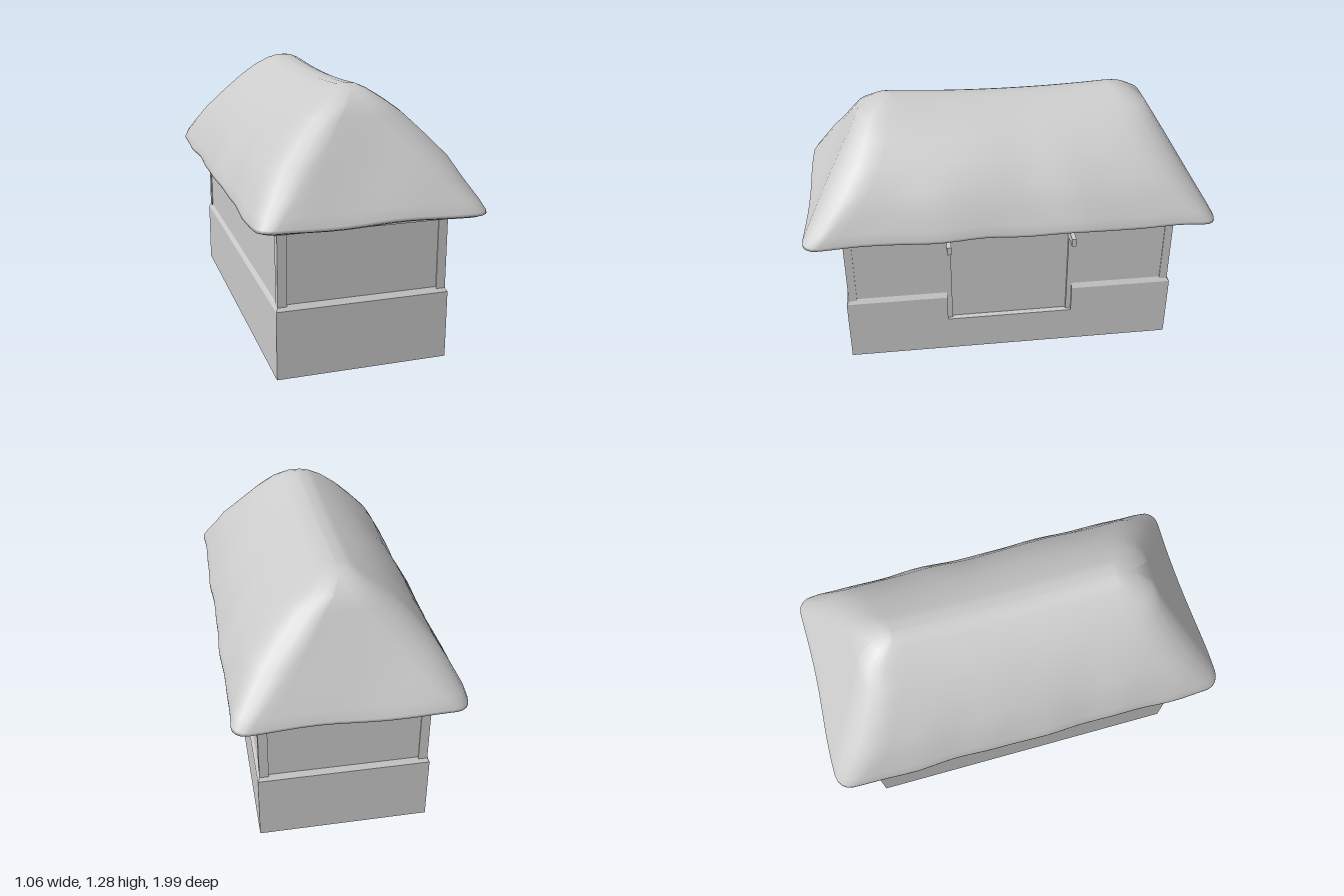
import * as THREE from 'three';

const mat = new THREE.MeshStandardMaterial({ color: 0xcccccc });
const sheetMat = new THREE.MeshStandardMaterial({ color: 0xcccccc, side: THREE.DoubleSide });

function box(name, x0, x1, y0, y1, z0, z1) {
  const m = new THREE.Mesh(new THREE.BoxGeometry(x1 - x0, y1 - y0, z1 - z0), mat);
  m.position.set((x0 + x1) / 2, (y0 + y1) / 2, (z0 + z1) / 2);
  m.name = name;
  return m;
}

// Thin surface made of separate flat quads, each a list of four corners
function sheet(name, quads) {
  const pos = quads.flatMap(([a, b, c, d]) => [a, b, c, a, c, d].flat());
  const g = new THREE.BufferGeometry();
  g.setAttribute('position', new THREE.Float32BufferAttribute(pos, 3));
  g.computeVertexNormals();
  const m = new THREE.Mesh(g, sheetMat);
  m.name = name;
  return m;
}

// Upright quad between two ground points, with its own ground points at the top
const rise = (a, b, y0, y1, c = a, d = b) =>
  [[a[0], y0, a[1]], [b[0], y0, b[1]], [d[0], y1, d[1]], [c[0], y1, c[1]]];

const PX = 0.412, PZ = 0.83;       // plinth half size
const WX = 0.398, WZ = 0.812;      // upper wall half size
const P1 = 0.33, P2 = 0.354, TOP = 0.71; // plinth shoulder and wall top
const SILL = 0.19, DX = 0.382;     // doorway sill height and door plane
const DOOR = [-0.29, 0.3], NOTCH = [-0.315, 0.325];

function buildWalls() {
  const g = new THREE.Group();
  g.name = 'walls';
  const plinth = [], upper = [], reveal = [];
  // three plain sides: front, doorless side, back
  const corners = (x, z) => [[1, 1], [-1, 1], [-1, -1], [1, -1]].map(([a, b]) => [a * x, b * z]);
  const p = corners(PX, PZ), w = corners(WX, WZ);
  for (const [i, j] of [[1, 0], [2, 1], [3, 2]]) {
    plinth.push(rise(p[i], p[j], 0, P1), rise(p[i], p[j], P1, P2, w[i], w[j]));
    upper.push(rise(w[i], w[j], P2, TOP));
  }
  // door side: low band, then a piece on each side of the doorway
  plinth.push(rise([PX, PZ], [PX, -PZ], 0, SILL));
  [-1, 1].forEach((s, i) => {
    const n = NOTCH[i], d = DOOR[i];
    const order = (a, b) => (s > 0 ? [a, b] : [b, a]);
    const foot = order([PX, s * PZ], [PX, n]);
    const head = order([WX, s * WZ], [WX, n]);
    plinth.push(rise(...foot, SILL, P1), rise(...foot, P1, P2, ...head));
    upper.push(rise(...order([WX, s * WZ], [WX, d]), P2, TOP));
    upper.push(rise(...order([WX, n], [WX, d]), SILL, P2));
    reveal.push([[WX, SILL, n], [PX, SILL, n], [PX, P1, n], [WX, P2, n]]);
    reveal.push(rise([DX, d], [WX, d], SILL, TOP));
  });
  const step = (x0, x1, [z0, z1]) => [[x0, SILL, z1], [x1, SILL, z1], [x1, SILL, z0], [x0, SILL, z0]];
  reveal.push(step(DX, WX, DOOR), step(WX, PX, NOTCH));
  g.add(sheet('plinth', plinth), sheet('upperWalls', upper), sheet('doorReveal', reveal));
  g.add(sheet('door', [rise([DX, DOOR[1]], [DX, DOOR[0]], SILL, TOP)]));
  return g;
}

function buildTimber() {
  const g = new THREE.Group();
  g.name = 'timberFrame';
  for (const s of [-1, 1]) {
    for (const sz of [-1, 1]) {
      const post = box('cornerPost', -0.022, 0.022, P2 - 0.01, 0.7, -0.02, 0.02);
      post.position.x = s * 0.381;
      post.position.z = sz * 0.798;
      g.add(post);
    }
    // wall plates under the eaves
    g.add(box('sidePlate', s * 0.398 - 0.022, s * 0.398 + 0.022, 0.688, 0.72, -0.835, 0.835));
    g.add(box('endPlate', -0.376, 0.376, 0.688, 0.72, s * 0.813 - 0.022, s * 0.813 + 0.022));
  }
  // short beam ends over the doorway
  for (const z of [-0.3, 0.31]) g.add(box('beamEnd', 0.37, 0.479, 0.64, 0.681, z - 0.011, z + 0.011));
  return g;
}

// Thatch: rounded-rectangle rings [halfX, halfZ, y, cornerRadius] lofted from ceiling to ridge
function buildRoof() {
  const rings = [
    [0, 0.4, 0.712, 0], [0.42, 0.845, 0.712, 0.03], [0.505, 0.965, 0.736, 0.06],
    [0.526, 0.99, 0.748, 0.07], [0.526, 0.99, 0.762, 0.08], [0.511, 0.966, 0.805, 0.1],
    [0.467, 0.917, 0.885, 0.13], [0.418, 0.865, 0.97, 0.15], [0.325, 0.8, 1.075, 0.15],
    [0.235, 0.746, 1.162, 0.13], [0.15, 0.708, 1.222, 0.1], [0.085, 0.64, 1.264, 0.07],
    [0.045, 0.58, 1.282, 0.04], [0, 0.54, 1.285, 0],
  ];
  const ARC = 4, LONG = 28, SHORT = 12;
  const signs = [[1, 1], [-1, 1], [-1, -1], [1, -1]];
  const pos = [], idx = [];
  let n = 0;
  for (const [hx, hz, y, r] of rings) {
    const arcs = signs.map(([sx, sz], k) => Array.from({ length: ARC + 1 }, (_, i) => {
      const t = (k + i / ARC) * Math.PI / 2;
      return [sx * (hx - r) + r * Math.cos(t), sz * (hz - r) + r * Math.sin(t)];
    }));
    const loop = [];
    arcs.forEach((arc, k) => {
      loop.push(...arc);
      const a = arc[ARC], b = arcs[(k + 1) % 4][0], m = k % 2 ? LONG : SHORT;
      for (let i = 1; i < m; i++) loop.push([a[0] + (b[0] - a[0]) * i / m, a[1] + (b[1] - a[1]) * i / m]);
    });
    n = loop.length;
    for (const [x, z] of loop) {
      // gentle uneven straw surface, and a sagging ridge
      const out = Math.min(1, hx / 0.41);
      const wob = Math.sin(z * 9 + x * 3 + y * 4) + 0.5 * Math.sin(z * 19 - y * 7 + x * 2);
      const sag = y > 1.1 ? 0.02 * (y - 1.1) / 0.18 * Math.max(0, 1 - (z / 0.55) ** 2) : 0;
      const lift = y > 0.72 && y < 1 ? 0.004 * Math.sin(z * 13 + x * 11) : 0;
      pos.push(x * (1 + 0.008 * wob * out), y - sag + lift,
        z * (1 + 0.007 * Math.sin(x * 7 + y * 5) * out));
    }
  }
  for (let r = 0; r < rings.length - 1; r++) for (let i = 0; i < n; i++) {
    const a = r * n + i, c = r * n + (i + 1) % n;
    idx.push(a, a + n, c, c, a + n, c + n);
  }
  const g = new THREE.BufferGeometry();
  g.setAttribute('position', new THREE.Float32BufferAttribute(pos, 3));
  g.setIndex(idx);
  g.computeVertexNormals();
  const m = new THREE.Mesh(g, sheetMat);
  m.name = 'thatchedRoof';
  return m;
}

export function createModel() {
  const model = new THREE.Group();
  model.name = 'thatchedHut';
  const base = new THREE.Group();
  base.name = 'base';
  base.position.x = 0.003;
  base.add(buildWalls(), buildTimber());
  model.add(base, buildRoof());
  return model;
}
